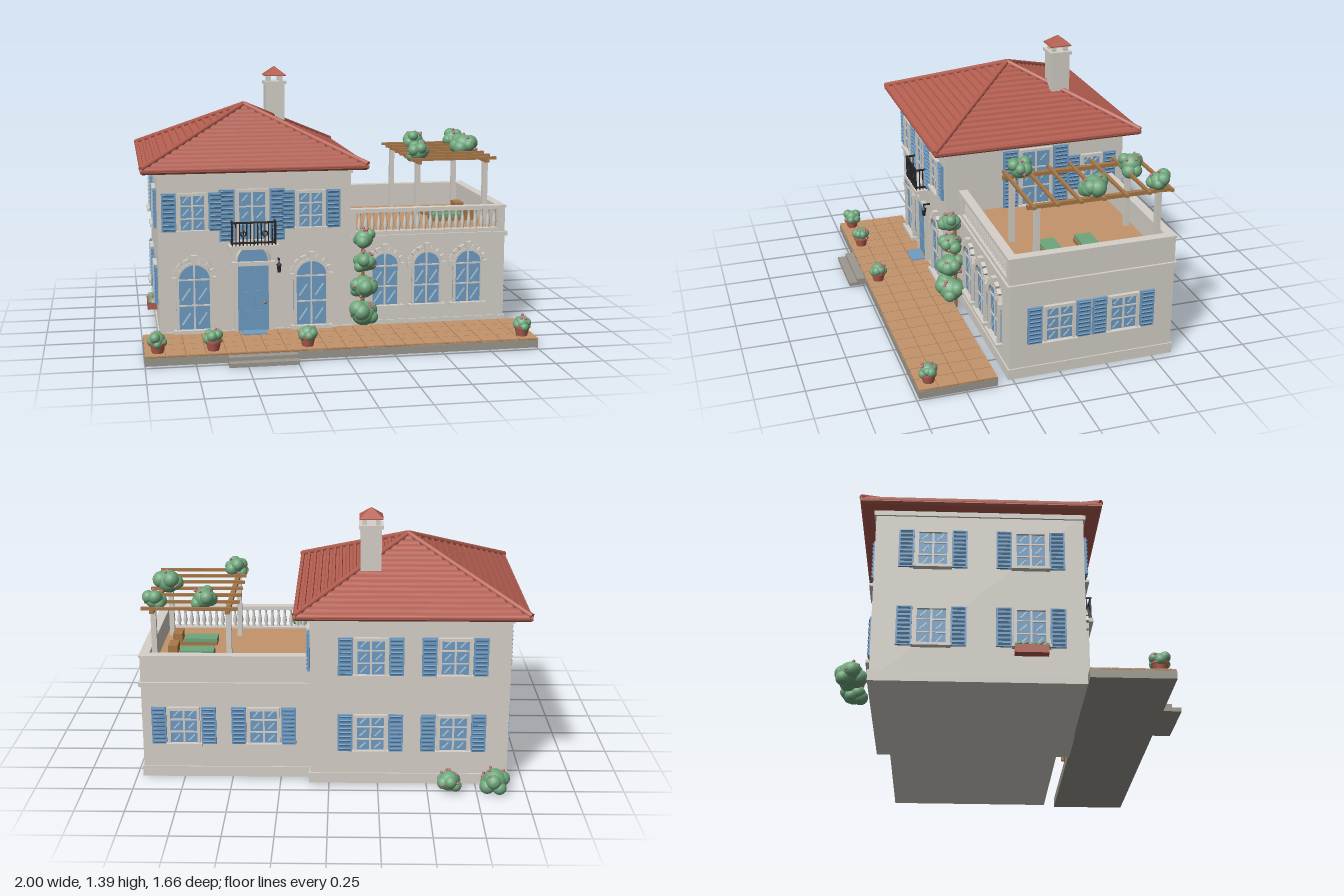
import * as THREE from 'three';

const mat = (name, color) => Object.assign(new THREE.MeshStandardMaterial({ color }), { name });
const M = {
  wall: mat('plaster', 0xd6d1c9), roof: mat('terracotta', 0xb45e50), blue: mat('blue paint', 0x6f9dc6),
  glint: mat('glass glint', 0xb4cfda), wood: mat('wood', 0xa87848), tile: mat('floor tile', 0xc2946a),
  leaf: mat('foliage', 0x6fa67c), iron: mat('wrought iron', 0x26262a), stone: mat('grey stone', 0x9c9890),
  pink: mat('blossom', 0xc9707a),
};
let seed = 7;
const rnd = () => (seed = (seed * 16807) % 2147483647) / 2147483647;

function add(parent, name, geo, m, x = 0, y = 0, z = 0) {
  const mesh = new THREE.Mesh(geo, m);
  mesh.name = name;
  mesh.position.set(x, y, z);
  parent.add(mesh);
  return mesh;
}
function group(parent, name, x = 0, y = 0, z = 0, ry = 0) {
  const g = new THREE.Group();
  g.name = name;
  g.position.set(x, y, z);
  g.rotation.y = ry;
  parent.add(g);
  return g;
}
const box = (p, name, m, w, h, d, x, y, z) => add(p, name, new THREE.BoxGeometry(w, h, d), m, x, y, z);
// box given by its limits
const span = (p, name, m, x0, x1, y0, y1, z0, z1) =>
  box(p, name, m, x1 - x0, y1 - y0, z1 - z0, (x0 + x1) / 2, (y0 + y1) / 2, (z0 + z1) / 2);
const faceted = (geo) => {
  const g = geo.toNonIndexed();
  g.computeVertexNormals();
  return g;
};
// square stepped or pyramidal solid from [halfWidth, y] pairs, bottom to top
const squareLathe = (pts) =>
  faceted(new THREE.LatheGeometry(pts.map(([a, y]) => new THREE.Vector2(a * Math.SQRT2, y)), 4).rotateY(Math.PI / 4));

function shutter(p, x, w, h) {
  const g = group(p, 'shutter', x, 0, 0.008);
  box(g, 'shutterPanel', M.blue, w, h, 0.012, 0, 0, 0);
  const n = Math.round(h / 0.022);
  for (let i = 0; i < n; i++)
    box(g, 'slat', M.blue, w * 0.78, 0.011, 0.006, 0, -h / 2 + (i + 0.5) * h / n, 0.008).rotation.x = 0.5;
}
// rectangular window centred on its origin, facing +z
function rectWindow(parent, x, y, z, ry, w = 0.15, h = 0.2, sw = 0.075, rows = 3) {
  const g = group(parent, 'window', x, y, z, ry);
  box(g, 'glass', M.blue, w, h, 0.008, 0, 0, 0.003);
  for (const s of [-1, 1]) {
    box(g, 'frameSide', M.wall, 0.015, h, 0.024, s * (w / 2 - 0.007), 0, 0.008);
    shutter(g, s * (w / 2 + 0.008 + sw / 2), sw, h);
  }
  box(g, 'frameTop', M.wall, w, 0.015, 0.024, 0, h / 2 - 0.007, 0.008);
  box(g, 'sill', M.wall, w + 0.02, 0.014, 0.04, 0, -h / 2, 0.012);
  box(g, 'mullion', M.wall, 0.01, h, 0.014, 0, 0, 0.006);
  for (let r = 0; r < rows; r++) {
    const py = -h / 2 + (r + 0.5) * h / rows;
    if (r) box(g, 'crossbar', M.wall, w, 0.007, 0.014, 0, py - h / rows / 2, 0.005);
    for (const s of [-1, 1])
      box(g, 'glint', M.glint, 0.007, 0.045, 0.002, s * w * 0.23, py, 0.008).rotation.z = -0.75;
  }
}
const archShape = (w, h, cls = THREE.Shape) => {
  const s = new cls();
  s.moveTo(-w / 2, 0);
  s.lineTo(w / 2, 0);
  s.lineTo(w / 2, h - w / 2);
  s.absarc(0, h - w / 2, w / 2, 0, Math.PI, false);
  s.closePath();
  return s;
};
const extrude = (shape, depth) => new THREE.ExtrudeGeometry(shape, { depth, bevelEnabled: false, curveSegments: 16 });
function voussoirs(g, r, cy) {
  for (let i = 0; i <= 8; i++) {
    const a = i * Math.PI / 8, key = i === 4;
    const b = box(g, key ? 'keystone' : 'archStone', M.wall, key ? 0.05 : 0.022, 0.03, key ? 0.035 : 0.022,
      Math.cos(a) * (r + 0.012), cy + Math.sin(a) * (r + 0.012), 0.01);
    b.rotation.z = a;
  }
}
// arched window standing on its origin
function archWindow(parent, x, y, z, w, h) {
  const g = group(parent, 'archedWindow', x, y, z);
  add(g, 'glass', extrude(archShape(w, h), 0.006), M.blue);
  const ring = archShape(w, h);
  ring.holes.push(archShape(w - 0.026, h - 0.013, THREE.Path));
  add(g, 'archFrame', extrude(ring, 0.022), M.wall);
  voussoirs(g, w / 2, h - w / 2);
  const cy = h - w / 2;
  box(g, 'mullion', M.wall, 0.009, h, 0.014, 0, h / 2, 0.004);
  for (const f of [0.5, 1]) box(g, 'crossbar', M.wall, w, 0.008, 0.014, 0, cy * f, 0.004);
  box(g, 'sill', M.wall, w + 0.035, 0.018, 0.045, 0, 0, 0.012);
  for (const s of [-1, 1])
    for (const f of [0.24, 0.72])
      box(g, 'glint', M.glint, 0.008, 0.075, 0.002, s * w * 0.23, cy * f, 0.0065).rotation.z = -0.6;
}
// lumpy bush with scattered blossoms
function bush(parent, x, y, z, r, flowers = 5) {
  const g = group(parent, 'bush', x, y, z);
  add(g, 'bushCore', new THREE.IcosahedronGeometry(r * 0.78, 3), M.leaf);
  for (let i = 0; i < 6; i++) {
    const a = i * 1.047 + rnd(), s = r * (0.42 + rnd() * 0.16);
    add(g, 'bushLobe', new THREE.IcosahedronGeometry(s, 2), M.leaf,
      Math.cos(a) * r * 0.52, (rnd() - 0.5) * r * 0.8, Math.sin(a) * r * 0.52);
  }
  for (let i = 0; i < flowers; i++) {
    const d = new THREE.Vector3(rnd() - 0.5, rnd() * 0.8 - 0.2, rnd() - 0.5).normalize().multiplyScalar(r * 0.88);
    add(g, 'blossom', new THREE.IcosahedronGeometry(0.008, 1), M.pink, d.x, d.y, d.z);
  }
}
function rod(parent, name, m, a, b, r, sides = 8) {
  const A = new THREE.Vector3(...a), B = new THREE.Vector3(...b), d = B.clone().sub(A);
  const mesh = add(parent, name, new THREE.CylinderGeometry(r, r, d.length(), sides), m);
  mesh.position.copy(A).add(B).multiplyScalar(0.5);
  mesh.quaternion.setFromUnitVectors(new THREE.Vector3(0, 1, 0), d.normalize());
}

export function createModel() {
  const root = new THREE.Group();
  root.name = 'villa';
  const Q = Math.PI / 2;

  // patio, steps and mat
  const patio = group(root, 'patio');
  span(patio, 'patioBase', M.stone, -1, 1, 0, 0.04, 0.34, 0.74);
  span(patio, 'grout', M.wood, -0.998, 0.998, 0.04, 0.045, 0.34, 0.738);
  for (let i = 0; i < 20; i++)
    for (let j = 0; j < 4; j++)
      box(patio, 'floorTile', M.tile, 0.096, 0.012, 0.096, -0.95 + i * 0.1, 0.044, 0.39 + j * 0.1);
  span(patio, 'lowerStep', M.stone, -0.595, -0.25, 0, 0.02, 0.74, 0.83);
  span(patio, 'upperStep', M.stone, -0.595, -0.25, 0.02, 0.038, 0.74, 0.785);
  span(patio, 'doorMat', M.blue, -0.49, -0.36, 0.05, 0.055, 0.36, 0.435);

  // main block
  const house = group(root, 'house');
  span(house, 'walls', M.wall, -0.91, 0.095, 0, 0.9, -0.67, 0.34);
  span(house, 'plinth', M.wall, -0.917, 0.102, 0, 0.055, -0.677, 0.347);
  span(house, 'cornice', M.wall, -0.92, 0.105, 0.87, 0.9, -0.68, 0.35);

  // hipped roof with rows of tiles
  const roof = group(root, 'roof', -0.41, 0, -0.16);
  const pts = [[0.001, 0.895], [0.575, 0.895], [0.585, 0.905]], rows = 16;
  for (let i = 0; i < rows; i++) {
    const a = 0.585 * (1 - i / rows), y = 0.917 + 0.27 * i / rows, s = 0.585 / rows;
    pts.push([a, y], [a - s * 0.12, y + 0.012], [a - s * 0.5, y + 0.0175], [a - s * 0.58, y + 0.009]);
  }
  pts.push([0.001, 1.19]);
  add(roof, 'roofTiles', squareLathe(pts), M.roof);
  for (const sx of [-1, 1])
    for (const sz of [-1, 1])
      rod(roof, 'hipRidge', M.roof, [sx * 0.58, 0.925, sz * 0.58], [0, 1.193, 0], 0.015);
  for (let i = 0; i < 4; i++) {
    const eave = group(roof, 'eave', 0, 0, 0, i * Q);
    rod(eave, 'eaveTile', M.roof, [-0.577, 0.915, 0.574], [0.577, 0.915, 0.574], 0.013);
  }

  // chimney
  const chimney = group(root, 'chimney', -0.21, 0, -0.39);
  span(chimney, 'shaft', M.wall, -0.053, 0.053, 0.95, 1.29, -0.053, 0.053);
  span(chimney, 'shaftCap', M.wall, -0.062, 0.062, 1.285, 1.302, -0.062, 0.062);
  for (const sx of [-1, 1])
    for (const sz of [-1, 1]) box(chimney, 'capPost', M.wall, 0.022, 0.04, 0.022, sx * 0.033, 1.32, sz * 0.033);
  add(chimney, 'capRoof', squareLathe([[0.001, 1.332], [0.06, 1.332], [0.06, 1.338], [0.001, 1.385]]), M.roof);

  // windows of the main block
  const windows = group(root, 'windows');
  for (const x of [-0.733, -0.12]) {
    rectWindow(windows, x, 0.687, 0.34, 0);
    archWindow(windows, x + 0.004, 0.06, 0.34, 0.185, 0.365);
  }
  rectWindow(windows, -0.425, 0.665, 0.342, 0, 0.165, 0.27, 0.08);
  for (const y of [0.28, 0.69]) {
    for (const x of [-0.21, -0.63]) rectWindow(windows, x, y, -0.67, Math.PI, 0.165);
    for (const z of [-0.39, 0.08]) rectWindow(windows, -0.91, y, z, -Q, 0.165);
  }
  rectWindow(windows, 0.095, 0.695, -0.16, Q, 0.185, 0.33, 0.085);
  rectWindow(windows, 0.095, 0.69, -0.485, Q, 0.125, 0.2, 0.07);
  // flower box
  const flowerBox = group(root, 'flowerBox', -0.94, 0.155, 0.08);
  box(flowerBox, 'trough', M.roof, 0.05, 0.04, 0.16, 0, 0, 0);
  for (let i = -2; i <= 2; i++) bush(flowerBox, 0, 0.025, i * 0.032, 0.02, 2);

  // front door with fanlight
  const door = group(root, 'frontDoor', -0.423, 0.05, 0.34);
  box(door, 'doorLeaf', M.blue, 0.165, 0.345, 0.016, 0, 0.172, 0.004);
  for (const s of [-1, 1]) {
    for (const y of [0.07, 0.175, 0.28]) box(door, 'doorPanel', M.blue, 0.055, 0.075, 0.008, s * 0.037, y, 0.012);
    box(door, 'doorJamb', M.wall, 0.018, 0.35, 0.03, s * 0.09, 0.175, 0.008);
    box(door, 'bracket', M.wall, 0.025, 0.045, 0.055, s * 0.105, 0.42, 0.025);
  }
  add(door, 'doorKnob', new THREE.SphereGeometry(0.008, 12, 8), M.wood, 0.062, 0.15, 0.018);
  box(door, 'lintel', M.wall, 0.225, 0.02, 0.04, 0, 0.36, 0.012);
  add(door, 'fanlight', new THREE.CylinderGeometry(0.082, 0.082, 0.012, 24, 1, false, -Q, Math.PI).rotateX(-Q), M.blue, 0, 0.37, 0.005)
    .rotation.z = 0;
  add(door, 'fanlightFrame', new THREE.TorusGeometry(0.084, 0.009, 6, 20, Math.PI), M.wall, 0, 0.37, 0.006);

  // balcony with iron railing
  const balcony = group(root, 'balcony', -0.423, 0, 0.34);
  span(balcony, 'balconySlab', M.wall, -0.13, 0.13, 0.495, 0.515, 0, 0.08);
  for (const y of [0.53, 0.635]) {
    box(balcony, 'railFront', M.iron, 0.23, 0.009, 0.009, 0, y, 0.07);
    for (const s of [-1, 1]) box(balcony, 'railSide', M.iron, 0.009, 0.009, 0.07, s * 0.112, y, 0.037);
  }
  for (let i = 0; i <= 12; i++) box(balcony, 'bar', M.iron, 0.0055, 0.12, 0.0055, -0.112 + i * 0.0187, 0.575, 0.07);
  for (const s of [-1, 1]) {
    for (let j = 0; j < 3; j++) box(balcony, 'sideBar', M.iron, 0.0055, 0.12, 0.0055, s * 0.112, 0.575, 0.012 + j * 0.019);
    add(balcony, 'scroll', new THREE.TorusGeometry(0.013, 0.004, 6, 14), M.iron, s * 0.056, 0.578, 0.073);
  }

  // wall lantern
  const lantern = group(root, 'lantern', -0.29, 0.385, 0.375);
  box(lantern, 'lanternArm', M.iron, 0.008, 0.008, 0.04, 0, 0.045, -0.016);
  rod(lantern, 'hanger', M.iron, [0, 0.02, 0], [0, 0.05, 0], 0.003);
  add(lantern, 'lanternCap', new THREE.ConeGeometry(0.016, 0.018, 6), M.iron, 0, 0.025, 0);
  add(lantern, 'lanternBody', new THREE.CylinderGeometry(0.013, 0.009, 0.038, 6), M.iron, 0, -0.003, 0);

  // wing with roof terrace
  const wing = group(root, 'wing');
  span(wing, 'wingWalls', M.wall, 0.09, 0.96, 0, 0.52, -0.6, 0.27);
  span(wing, 'wingPlinth', M.wall, 0.09, 0.967, 0, 0.055, -0.607, 0.277);
  span(wing, 'wingBand', M.wall, 0.09, 0.972, 0.497, 0.52, -0.612, 0.282);
  span(wing, 'terraceFloor', M.tile, 0.095, 0.925, 0.52, 0.53, -0.565, 0.235);
  span(wing, 'backParapet', M.wall, 0.095, 0.96, 0.52, 0.65, -0.6, -0.56);
  span(wing, 'sideParapet', M.wall, 0.92, 0.96, 0.52, 0.65, -0.56, 0.235);
  span(wing, 'backCoping', M.wall, 0.095, 0.965, 0.65, 0.663, -0.605, -0.555);
  span(wing, 'sideCoping', M.wall, 0.915, 0.965, 0.65, 0.663, -0.555, 0.275);
  span(wing, 'frontKerb', M.wall, 0.095, 0.96, 0.52, 0.54, 0.23, 0.27);
  span(wing, 'frontHandrail', M.wall, 0.095, 0.915, 0.642, 0.663, 0.227, 0.275);
  for (const x of [0.118, 0.94]) box(wing, 'balustradePier', M.wall, 0.04, 0.13, 0.04, x, 0.585, 0.25);
  const profile = [[0.011, 0], [0.007, 0.012], [0.013, 0.035], [0.007, 0.07], [0.006, 0.088], [0.011, 0.105]];
  const baluster = new THREE.LatheGeometry(profile.map((p) => new THREE.Vector2(...p)), 10);
  for (let i = 0; i < 22; i++) add(wing, 'baluster', baluster, M.wall, 0.16 + i * 0.0355, 0.538, 0.25);
  for (const x of [0.294, 0.524, 0.754]) archWindow(wing, x, 0.13, 0.27, 0.165, 0.305);
  for (const z of [0.012, -0.328]) rectWindow(wing, 0.96, 0.285, z, Q, 0.165);
  for (const x of [0.335, 0.745]) rectWindow(wing, x, 0.285, -0.6, Math.PI, 0.165);

  // pergola
  const pergola = group(root, 'pergola');
  for (const x of [0.51, 0.89]) {
    for (const z of [0.11, -0.525]) box(pergola, 'post', M.wall, 0.027, 0.355, 0.027, x, 0.705, z);
    span(pergola, 'beam', M.wood, x - 0.012, x + 0.012, 0.88, 0.9, -0.59, 0.16);
  }
  for (let i = 0; i < 7; i++) span(pergola, 'rafter', M.wood, 0.46, 0.945, 0.896, 0.911, -0.575 + i * 0.119 - 0.008, -0.575 + i * 0.119 + 0.008);
  for (const [x, z, r] of [[0.635, -0.485, 0.068], [0.88, -0.525, 0.06], [0.855, -0.195, 0.078], [0.52, 0.075, 0.064]])
    bush(pergola, x, 0.935, z, r);

  // sun loungers
  for (const z of [-0.235, -0.035]) {
    const lounger = group(root, 'lounger', 0.72, 0.53, z);
    box(lounger, 'loungerBase', M.wood, 0.22, 0.02, 0.1, 0.01, 0.015, 0);
    box(lounger, 'cushion', M.leaf, 0.18, 0.018, 0.088, -0.01, 0.034, 0);
    box(lounger, 'backrest', M.wood, 0.05, 0.065, 0.1, 0.115, 0.04, 0);
  }

  // climbing plant, potted plants and shrubs
  const planting = group(root, 'planting');
  for (const [x, y, r] of [[0.165, 0.115, 0.083], [0.165, 0.26, 0.076], [0.17, 0.395, 0.066], [0.165, 0.52, 0.063]])
    bush(planting, x, y, 0.345, r, 8);
  rod(planting, 'stem', M.wood, [0.165, 0, 0.32], [0.165, 0.52, 0.32], 0.01);
  for (const x of [-0.935, -0.66, -0.187, 0.933]) {
    const pot = group(root, 'pottedPlant', x, 0.05, 0.675);
    add(pot, 'pot', new THREE.CylinderGeometry(0.04, 0.028, 0.05, 16), M.roof, 0, 0.025, 0);
    add(pot, 'potRim', new THREE.CylinderGeometry(0.044, 0.044, 0.01, 16), M.roof, 0, 0.048, 0);
    bush(pot, 0, 0.065, 0, 0.049);
  }
  bush(planting, -0.84, 0.06, -0.758, 0.076, 7);
  bush(planting, -0.61, 0.055, -0.757, 0.066, 7);
  return root;
}
